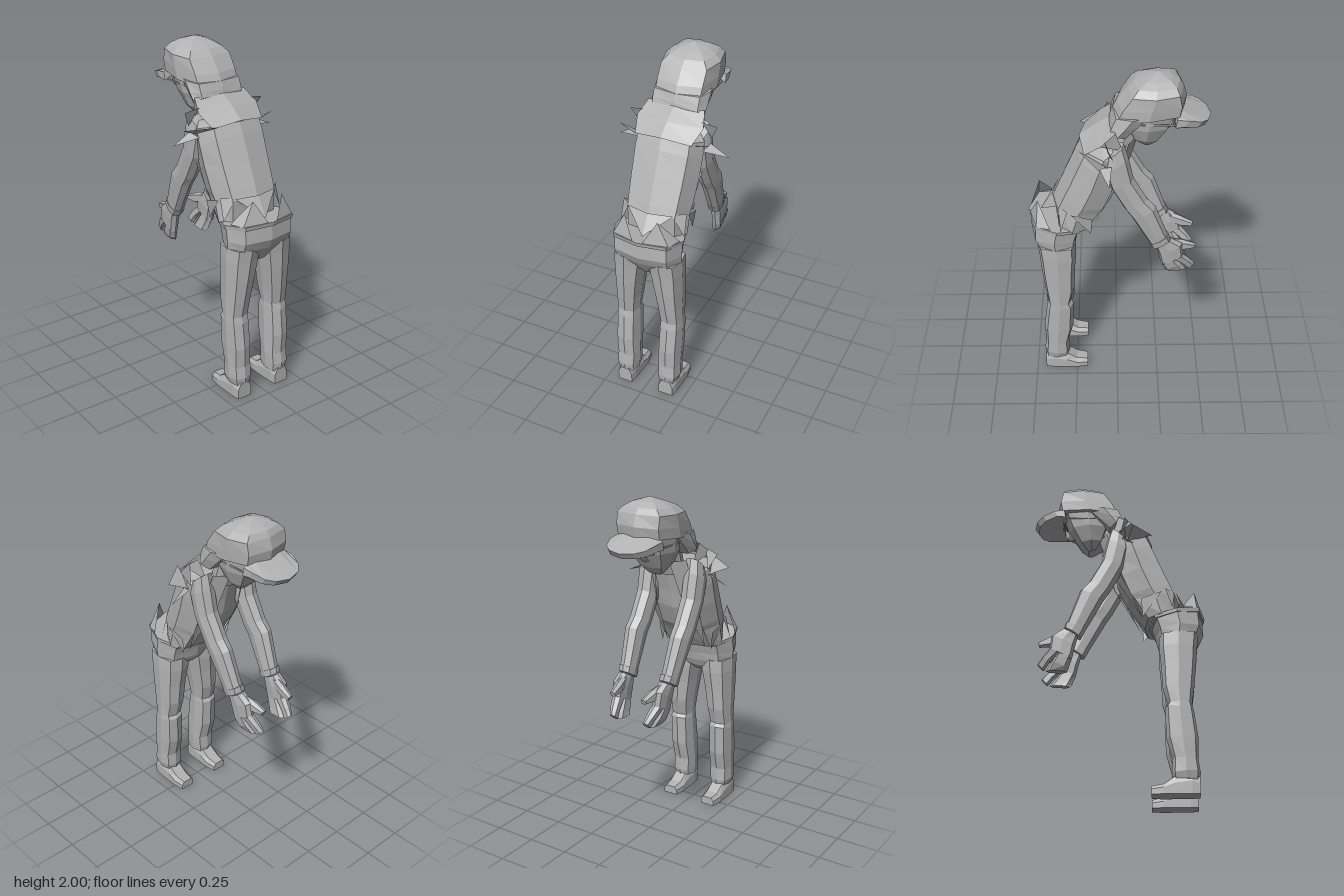
import * as THREE from 'three';

const grey = new THREE.MeshStandardMaterial({ color: 0xb2b2b2, side: THREE.DoubleSide });
grey.name = 'plainGrey';

// Cross-section spanning a back point and a front point, each [z, y]
function ring(back, front, cx, hw, n = 8, p = 0.7) {
  const pts = [];
  const soft = v => Math.sign(v) * Math.pow(Math.abs(v) < 1e-6 ? 0 : Math.abs(v), p);
  for (let i = 0; i < n; i++) {
    const a = (i / n) * Math.PI * 2;
    const t = (soft(Math.cos(a)) + 1) / 2;
    pts.push(new THREE.Vector3(
      cx + hw * soft(Math.sin(a)),
      back[1] + (front[1] - back[1]) * t,
      back[0] + (front[0] - back[0]) * t));
  }
  return pts;
}

function meshFrom(name, tris) {
  const geo = new THREE.BufferGeometry().setFromPoints(tris);
  geo.computeVertexNormals();
  const mesh = new THREE.Mesh(geo, grey);
  mesh.name = name;
  return mesh;
}

// Closed faceted skin over a list of rings, always wound outward
function loft(name, rings) {
  const tris = [];
  const n = rings[0].length;
  for (let r = 0; r < rings.length - 1; r++) {
    for (let i = 0; i < n; i++) {
      const j = (i + 1) % n;
      const a = rings[r][i], b = rings[r][j], c = rings[r + 1][j], d = rings[r + 1][i];
      tris.push(a, b, c, a, c, d);
    }
  }
  const first = rings[0], last = rings[rings.length - 1];
  for (let i = 1; i < n - 1; i++) {
    tris.push(first[0], first[i + 1], first[i], last[0], last[i], last[i + 1]);
  }
  let volume = 0;
  const cross = new THREE.Vector3();
  for (let i = 0; i < tris.length; i += 3) {
    volume += tris[i].dot(cross.crossVectors(tris[i + 1], tris[i + 2]));
  }
  if (volume < 0) {
    for (let i = 0; i < tris.length; i += 3) [tris[i + 1], tris[i + 2]] = [tris[i + 2], tris[i + 1]];
  }
  return meshFrom(name, tris);
}

// Rows of [backZ, backY, frontZ, frontY, centreX, halfWidth]
function body(name, rows, s = 1, n = 8, p = 0.7) {
  return loft(name, rows.map(r => ring([r[0], r[1]], [r[2], r[3]], r[4] * s, r[5], n, p)));
}

// Thin loose cloth triangles, corners as [x, y, z]
function cloth(name, s, list) {
  return meshFrom(name, list.flat().map(v => new THREE.Vector3(v[0] * s, v[1], v[2])));
}

export function createModel() {
  const g = new THREE.Group();
  g.name = 'stoopingFigure';

  // Hips and belt
  g.add(body('hips', [
    [0.41, 0.85, 0.30, 0.85, 0, 0.05], [0.445, 0.9, 0.25, 0.89, 0, 0.15],
    [0.475, 0.945, 0.232, 0.93, 0, 0.2], [0.5, 1.0, 0.22, 0.98, 0, 0.204],
    [0.495, 1.09, 0.20, 1.04, 0, 0.203]]));
  g.add(body('belt', [
    [0.505, 1.085, 0.185, 1.04, 0, 0.208], [0.51, 1.11, 0.18, 1.06, 0, 0.21]]));

  // Jacket body, bent forward
  g.add(body('jacketBody', [
    [0.35, 1.08, 0.16, 1.05, 0, 0.185], [0.365, 1.21, 0.075, 1.17, 0, 0.187],
    [0.345, 1.26, 0.05, 1.2, 0, 0.192], [0.285, 1.4, 0.0, 1.32, 0, 0.2],
    [0.225, 1.54, -0.02, 1.42, 0, 0.205], [0.195, 1.6, -0.05, 1.53, 0, 0.2],
    [0.1, 1.6, -0.06, 1.58, 0, 0.15]], 1, 8, 0.72));

  // Neck
  g.add(body('neck', [
    [0.04, 1.57, -0.07, 1.53, 0, 0.08], [0.0, 1.72, -0.12, 1.66, 0, 0.08]]));

  // Head under the cap
  g.add(body('face', [
    [-0.13, 1.575, -0.18, 1.56, 0, 0.045], [-0.08, 1.62, -0.235, 1.61, 0, 0.09],
    [-0.04, 1.70, -0.295, 1.70, 0, 0.125], [-0.03, 1.81, -0.34, 1.81, 0, 0.14]]));
  g.add(body('nose', [
    [-0.24, 1.655, -0.29, 1.655, 0, 0.022], [-0.27, 1.685, -0.32, 1.68, 0, 0.02],
    [-0.30, 1.75, -0.325, 1.75, 0, 0.01]], 1, 4, 1));
  g.add(body('hoodNape', [
    [0.045, 1.72, -0.05, 1.66, 0, 0.165], [0.04, 1.745, -0.12, 1.73, 0, 0.167],
    [0.025, 1.79, -0.19, 1.80, 0, 0.166]], 1, 8, 0.55));
  g.add(body('capCrown', [
    [0.035, 1.765, -0.365, 1.80, 0, 0.163], [0.005, 1.83, -0.375, 1.86, 0, 0.165],
    [-0.055, 1.91, -0.355, 1.925, 0, 0.165], [-0.09, 1.945, -0.335, 1.957, 0, 0.13],
    [-0.14, 1.97, -0.295, 1.98, 0, 0.085], [-0.215, 2.0, -0.225, 2.0, 0, 0.004]], 1, 8, 0.55));

  // Cap visor, drooping toward its sides
  const visorRows = [[-0.15, -0.38, -0.03], [-0.125, -0.45, -0.015], [-0.08, -0.49, 0], [0, -0.51, 0],
    [0.08, -0.49, 0], [0.125, -0.45, -0.015], [0.15, -0.38, -0.03]];
  g.add(loft('capVisor', visorRows.map(([x, z, dy]) => [
    [1.82 + dy, -0.32], [1.745 + (z + 0.51) * 0.3, z], [1.715 + (z + 0.51) * 0.25, z + 0.02],
    [1.77 + dy, -0.31]].map(([y, zz]) => new THREE.Vector3(x, y, zz)))));

  // Spectacles
  const bridge = new THREE.Mesh(new THREE.BoxGeometry(0.04, 0.008, 0.008), grey);
  bridge.name = 'glassesBridge';
  bridge.position.set(0, 1.745, -0.335);
  g.add(bridge);

  // Loose tail at the middle of the jacket back
  g.add(cloth('jacketTail', 1, [
    [[-0.14, 1.22, 0.34], [0, 1.22, 0.37], [0, 1.11, 0.44]],
    [[0.14, 1.22, 0.34], [0, 1.22, 0.37], [0, 1.11, 0.44]]]));

  for (const s of [1, -1]) {
    const side = s > 0 ? 'left' : 'right';
    const add = (name, rows, n, p) => g.add(body(side + name, rows, s, n, p));

    // Trouser leg
    add('Leg', [
      [0.445, 0.08, 0.30, 0.09, 0.133, 0.058], [0.45, 0.13, 0.295, 0.12, 0.137, 0.065],
      [0.44, 0.2, 0.30, 0.2, 0.135, 0.066], [0.445, 0.32, 0.27, 0.32, 0.138, 0.066],
      [0.425, 0.48, 0.265, 0.5, 0.14, 0.066], [0.415, 0.52, 0.28, 0.52, 0.14, 0.064],
      [0.43, 0.62, 0.255, 0.62, 0.134, 0.069], [0.445, 0.75, 0.25, 0.75, 0.124, 0.079],
      [0.455, 0.87, 0.24, 0.86, 0.114, 0.09], [0.465, 0.95, 0.24, 0.94, 0.107, 0.093]]);

    // Shoe, cross-sections running heel to toe
    const shoe = [[0.445, 0.095, 0.045], [0.40, 0.12, 0.052], [0.31, 0.10, 0.054],
      [0.25, 0.06, 0.055], [0.185, 0.05, 0.045]];
    g.add(loft(side + 'Shoe', shoe.map(([z, h, w]) => [
      [-w, 0], [w, 0], [w, h * 0.6], [w * 0.65, h], [-w * 0.65, h], [-w, h * 0.6]
    ].map(([x, y]) => new THREE.Vector3(s * 0.137 + x, y, z)))));

    // Sleeve from shoulder to cuff
    add('Sleeve', [
      [0.06, 1.56, -0.035, 1.64, 0.145, 0.05], [0.07, 1.49, -0.06, 1.56, 0.15, 0.058],
      [0.04, 1.37, -0.09, 1.42, 0.15, 0.057], [-0.04, 1.22, -0.165, 1.285, 0.15, 0.054],
      [-0.08, 1.16, -0.215, 1.23, 0.152, 0.052], [-0.195, 0.95, -0.29, 1.02, 0.142, 0.044]], 8, 0.8);
    add('Cuff', [
      [-0.185, 0.965, -0.295, 1.03, 0.142, 0.047], [-0.205, 0.93, -0.305, 0.995, 0.14, 0.045]]);

    // Mitten-like hand with two finger blocks and a thick thumb
    add('Palm', [
      [-0.225, 0.94, -0.31, 0.99, 0.14, 0.034], [-0.24, 0.88, -0.375, 0.95, 0.137, 0.036],
      [-0.258, 0.80, -0.385, 0.87, 0.135, 0.03]], 8, 0.6);
    add('OuterFingers', [
      [-0.256, 0.81, -0.335, 0.85, 0.135, 0.03], [-0.275, 0.755, -0.375, 0.79, 0.125, 0.028],
      [-0.285, 0.735, -0.405, 0.742, 0.112, 0.022]], 6);
    add('InnerFingers', [
      [-0.33, 0.84, -0.385, 0.87, 0.135, 0.03], [-0.385, 0.79, -0.425, 0.825, 0.123, 0.026],
      [-0.415, 0.745, -0.455, 0.785, 0.112, 0.02]], 6);
    add('Thumb', [
      [-0.32, 0.90, -0.31, 0.98, 0.13, 0.026], [-0.385, 0.89, -0.38, 0.96, 0.115, 0.026],
      [-0.445, 0.895, -0.455, 0.925, 0.105, 0.018]], 6);

    // Spectacle rim and arm
    const rim = new THREE.Mesh(new THREE.TorusGeometry(0.038, 0.004, 4, 8).toNonIndexed(), grey);
    rim.geometry.computeVertexNormals();
    rim.name = side + 'GlassesRim';
    rim.position.set(s * 0.056, 1.727, -0.318);
    rim.rotation.x = -0.45;
    rim.scale.y = 0.75;
    const temple = new THREE.Mesh(new THREE.BoxGeometry(0.006, 0.008, 0.2), grey);
    temple.name = side + 'GlassesArm';
    temple.position.set(s * 0.128, 1.745, -0.23);
    g.add(rim, temple);

    // Upper back yoke rising to the hood
    g.add(cloth(side + 'BackYoke', s, [
      [[0, 1.61, 0.21], [0.17, 1.585, 0.18], [0, 1.67, 0.13]],
      [[0.17, 1.585, 0.18], [0.2, 1.655, 0.09], [0, 1.67, 0.13]],
      [[0, 1.67, 0.13], [0.2, 1.655, 0.09], [0, 1.725, 0.045]],
      [[0.2, 1.655, 0.09], [0.17, 1.72, 0.01], [0, 1.725, 0.045]],
      [[0.2, 1.655, 0.09], [0.17, 1.72, 0.01], [0.15, 1.6, -0.03]]]));

    // Torn shoulder points
    g.add(cloth(side + 'ShoulderTears', s, [
      [[0.15, 1.6, 0.21], [0.312, 1.58, 0.1], [0.2, 1.53, 0.06]],
      [[0.2, 1.52, 0.1], [0.34, 1.485, 0.045], [0.22, 1.54, 0.03]],
      [[0.18, 1.68, 0.07], [0.265, 1.66, 0.05], [0.22, 1.57, 0.02]]]));

    // Pointed waist flaps and ragged jacket hem
    g.add(cloth(side + 'WaistFlaps', s, [
      [[0.03, 1.11, 0.5], [0.17, 1.1, 0.46], [0.1, 1.235, 0.45]],
      [[0.17, 1.1, 0.46], [0.2, 1.1, 0.38], [0.1, 1.235, 0.45]]]));
    g.add(cloth(side + 'JacketHem', s, [
      [[0.13, 1.22, 0.335], [0.195, 1.22, 0.28], [0.2, 1.09, 0.32]],
      [[0.195, 1.2, 0.26], [0.185, 1.16, 0.14], [0.17, 1.05, 0.15]]]));

    // Open front lapel
    g.add(cloth(side + 'Lapel', s, [
      [[0.05, 1.62, -0.11], [0.13, 1.63, -0.06], [0.09, 1.36, -0.025]],
      [[0.13, 1.63, -0.06], [0.17, 1.38, 0.0], [0.09, 1.36, -0.025]],
      [[0.09, 1.36, -0.025], [0.17, 1.38, 0.0], [0.13, 1.06, 0.15]]]));
  }
  return g;
}
